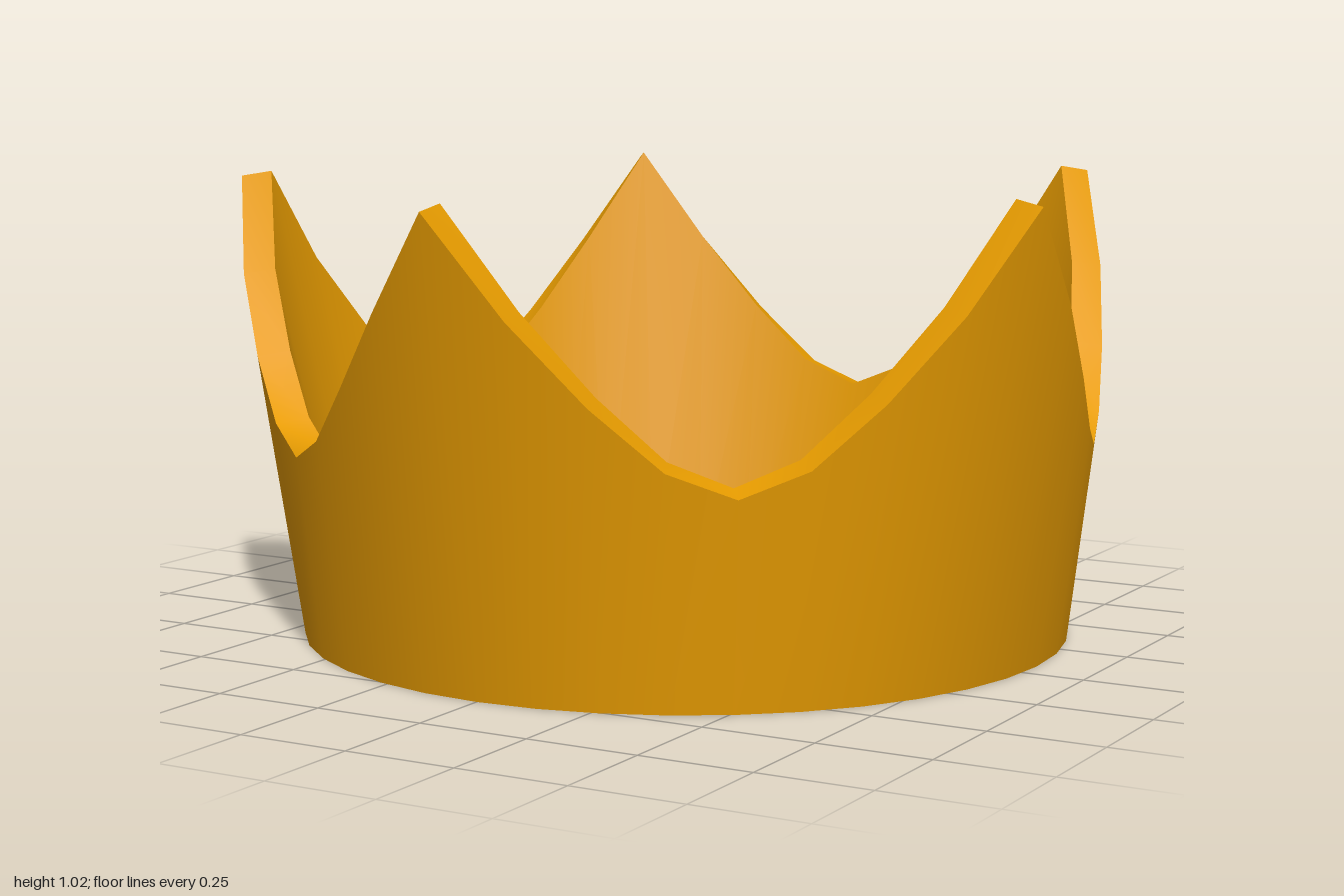
import * as THREE from 'three';
import { toCreasedNormals } from 'three/addons/utils/BufferGeometryUtils.js';

const POINTS = 5, HALF = 4;              // five points, four steps from tip to valley
const SIDES = POINTS * HALF * 2;
const CENTRE_Z = -0.068;
// top edge from tip to valley: [outer radius, height]
const EDGE = [[1.05, 1.012], [1.005, 0.8], [0.96, 0.63], [0.93, 0.5], [0.918, 0.445]];

// ring of points; profile(step) gives [radius, height], step 0 = tip, 4 = valley
function ring(profile) {
  return Array.from({ length: SIDES }, (_, i) => {
    const k = i % (HALF * 2);
    const [r, y] = profile(Math.min(k, HALF * 2 - k));
    const a = (i / SIDES) * Math.PI * 2;
    return [Math.sin(a) * r, y, Math.cos(a) * r + CENTRE_Z];
  });
}

// closed band between two rings, smooth except for the sharp turns at the tips
function band(name, a, b, material) {
  const index = [];
  for (let i = 0; i < SIDES; i++) {
    const j = (i + 1) % SIDES;
    index.push(i, j, SIDES + j, i, SIDES + j, SIDES + i);
  }
  const geo = new THREE.BufferGeometry();
  geo.setAttribute('position', new THREE.Float32BufferAttribute([...a, ...b].flat(), 3));
  geo.setIndex(index);
  const mesh = new THREE.Mesh(toCreasedNormals(geo, Math.PI / 3), material);
  mesh.name = name;
  return mesh;
}

export function createModel() {
  const gold = new THREE.MeshStandardMaterial({ color: 0xe69b00 });
  gold.name = 'gold';
  const brown = new THREE.MeshStandardMaterial({ color: 0xd96c00 });
  brown.name = 'brown';

  const outerBase = ring(() => [0.865, 0]);
  const outerTop = ring((s) => EDGE[s]);
  const innerTop = ring((s) => [EDGE[s][0] - 0.072, EDGE[s][1] + 0.012]);
  const innerBase = ring(() => [0.75, 0]);

  const crown = new THREE.Group();
  crown.name = 'crown';
  crown.add(
    band('outerWall', outerBase, outerTop, gold),
    band('pointedRim', outerTop, innerTop, gold),
    band('innerWall', innerTop, innerBase, gold),
    band('bottomRing', innerBase, outerBase, brown),
  );
  return crown;
}
